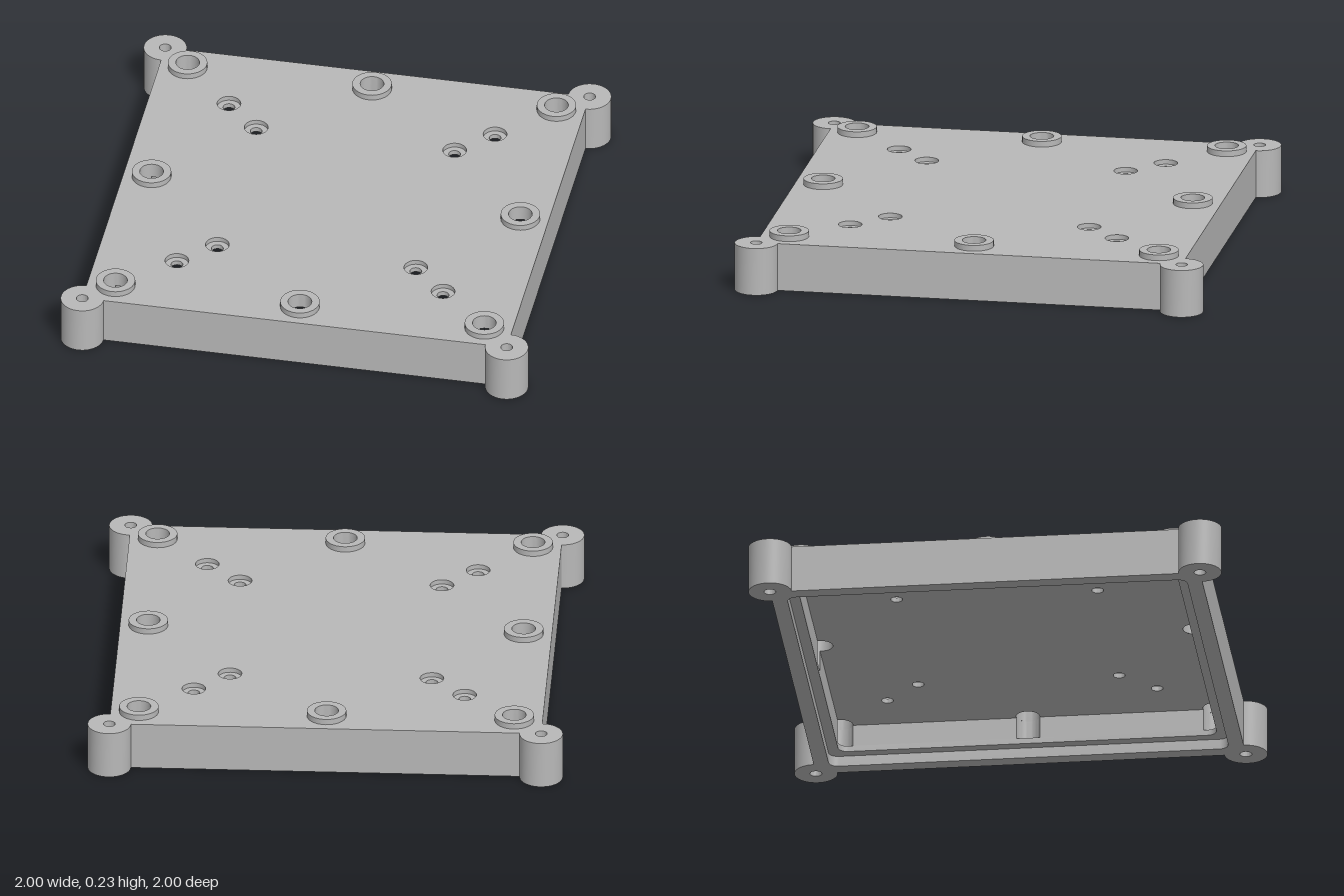
import * as THREE from 'three';
import { mergeGeometries, toCreasedNormals } from 'three/addons/utils/BufferGeometryUtils.js';

// Levels from the bottom up
const Y = { base: 0, ledge: 0.045, notch: 0.07, ceiling: 0.165, bore: 0.185, top: 0.205, boss: 0.23 };
const PI = Math.PI;
const CAV = 0.8, BOSS = 0.79, BOSS_R = 0.05, POST = 0.909;
const ALPHA = Math.acos((CAV - BOSS) / BOSS_R); // where a boss hole meets the cavity wall

function arc(cx, cy, r, a0, a1, n) {
  return Array.from({ length: n + 1 }, (_, i) => {
    const a = a0 + (a1 - a0) * i / n;
    return new THREE.Vector2(cx + r * Math.cos(a), cy + r * Math.sin(a));
  });
}
const circle = (cx, cy, r, n = 32) => arc(cx, cy, r, 0, 2 * PI, n).slice(0, -1);
const origin = new THREE.Vector2();
const turn = (pts, k) => pts.map(p => p.clone().rotateAround(origin, k * PI / 2));
const fourfold = quarter => [0, 1, 2, 3].flatMap(k => turn(quarter, k));
const roundedSquare = (h, r) => fourfold(arc(h - r, h - r, r, 0, PI / 2, 8));

// Flat face bounded by a contour
function face(pts, holes, y, up) {
  const shape = new THREE.Shape(pts);
  shape.holes = holes.map(h => new THREE.Path(h));
  const g = new THREE.ShapeGeometry(shape).toNonIndexed();
  g.deleteAttribute('uv');
  return g.rotateX(up ? -PI / 2 : PI / 2).translate(0, y, 0);
}

// Vertical wall along a closed contour
function wall(contour, y0, y1, inward = false) {
  const pts = inward ? [...contour].reverse() : contour;
  const pos = [];
  pts.forEach((p, i) => {
    const q = pts[(i + 1) % pts.length];
    if (p.distanceTo(q) < 1e-6) return;
    pos.push(p.x, y0, -p.y, q.x, y0, -q.y, q.x, y1, -q.y);
    pos.push(p.x, y0, -p.y, q.x, y1, -q.y, p.x, y1, -p.y);
  });
  const g = new THREE.BufferGeometry();
  g.setAttribute('position', new THREE.Float32BufferAttribute(pos, 3));
  return toCreasedNormals(g, 0.6);
}

export function createModel() {
  const group = new THREE.Group();
  const grey = new THREE.MeshStandardMaterial({ color: 0xb8b8b8 });
  grey.name = 'plain grey';
  const add = (name, parts) => {
    const mesh = new THREE.Mesh(mergeGeometries(parts), grey);
    mesh.name = name;
    group.add(mesh);
  };

  // Hole centres
  const corners = d => [[d, d], [-d, d], [-d, -d], [d, -d]];
  const posts = corners(POST);
  const bosses = [...corners(BOSS), [BOSS, 0], [0, BOSS], [-BOSS, 0], [0, -BOSS]];
  const screws = [...corners(0.57), ...corners(0.425)];
  const rings = (list, r) => list.map(([x, y]) => circle(x, y, r));

  // Contours
  const outline = fourfold(arc(POST, POST, 0.091, -PI / 2, PI, 36));
  const rabbet = roundedSquare(0.845, 0.04);
  const cavity = roundedSquare(CAV, 0.04);
  const sideNotch = arc(BOSS, 0, BOSS_R, -ALPHA, ALPHA, 16);
  const cornerNotch = arc(BOSS, BOSS, BOSS_R, -ALPHA, PI / 2 + ALPHA, 24);
  const notched = fourfold([...sideNotch, ...cornerNotch]);
  const ceiling = fourfold([
    ...arc(BOSS, 0, BOSS_R, 2 * PI - ALPHA, ALPHA, 16),
    ...arc(BOSS, BOSS, BOSS_R, 2 * PI - ALPHA, PI / 2 + ALPHA, 10),
  ]);
  const cornerFloor = [...cornerNotch, ...arc(CAV - 0.04, CAV - 0.04, 0.04, PI / 2, 0, 8)];

  // Outer shell with its four round corner posts
  add('coverShell', [
    wall(outline, Y.base, Y.top),
    face(outline, [...rings(posts, 0.025), ...rings(bosses, 0.083), ...rings(screws, 0.05)], Y.top, true),
    face(outline, [rabbet, ...rings(posts, 0.025)], Y.base, false),
  ]);

  add('cornerPostHoles', rings(posts, 0.025).map(c => wall(c, Y.base, Y.top, true)));

  // Stepped rim under the cover
  add('rimStep', [
    wall(rabbet, Y.base, Y.ledge, true),
    face(rabbet, [cavity], Y.ledge, false),
  ]);

  // Cavity, with the boss holes cutting notches into its walls
  add('innerCavity', [
    wall(cavity, Y.ledge, Y.notch, true),
    wall(notched, Y.notch, Y.ceiling, true),
    face(ceiling, rings(screws, 0.025), Y.ceiling, false),
  ]);
  add('notchFloors', [0, 1, 2, 3].flatMap(k => [
    face(turn(sideNotch, k), [], Y.notch, true),
    face(turn(cornerFloor, k), [], Y.notch, true),
  ]));

  // Raised rings around the eight large holes
  add('raisedBosses', bosses.flatMap(([x, y]) => {
    const outer = circle(x, y, 0.083), inner = circle(x, y, BOSS_R);
    return [
      wall(outer, Y.top, Y.boss),
      wall(inner, Y.ceiling, Y.boss, true),
      face(outer, [inner], Y.boss, true),
    ];
  }));

  // Counterbored screw holes
  add('screwHoles', screws.flatMap(([x, y]) => {
    const outer = circle(x, y, 0.05), inner = circle(x, y, 0.025);
    return [
      wall(outer, Y.bore, Y.top, true),
      wall(inner, Y.ceiling, Y.bore, true),
      face(outer, [inner], Y.bore, true),
    ];
  }));

  return group;
}
